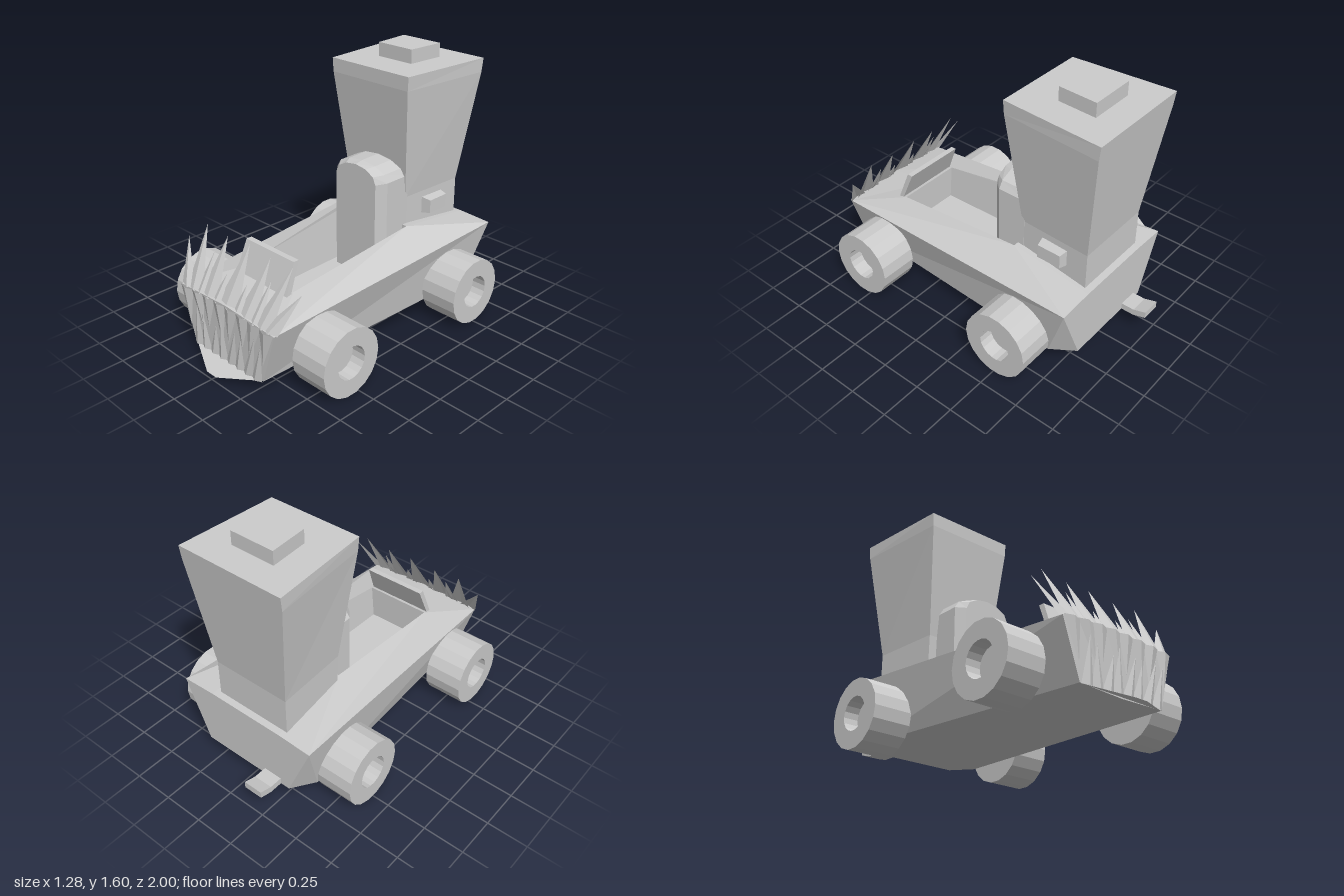
import * as THREE from 'three';

const solid = new THREE.MeshStandardMaterial({ color: 0xcccccc, flatShading: true });
const thin = new THREE.MeshStandardMaterial({ color: 0xcccccc, flatShading: true, side: THREE.DoubleSide });

// Mesh from convex polygons, each fanned into triangles
function polyMesh(name, polys, material = solid) {
  const pos = [];
  for (const p of polys)
    for (let i = 1; i < p.length - 1; i++) pos.push(...p[0], ...p[i], ...p[i + 1]);
  const g = new THREE.BufferGeometry();
  g.setAttribute('position', new THREE.Float32BufferAttribute(pos, 3));
  g.computeVertexNormals();
  const m = new THREE.Mesh(g, material);
  m.name = name;
  return m;
}

const mirror = (poly) => poly.map(([x, y, z]) => [-x, y, z]).reverse();

// Closed skin through rings of points, capped at both ends
function loft(name, rings) {
  const polys = [[...rings[0]].reverse(), rings[rings.length - 1]];
  for (let i = 0; i < rings.length - 1; i++) {
    const a = rings[i], b = rings[i + 1];
    a.forEach((_, j) => {
      const k = (j + 1) % a.length;
      polys.push([a[j], a[k], b[k], b[j]]);
    });
  }
  return polyMesh(name, polys);
}

// Horizontal ring: front edge (half width wf at zf), back edge (wb at zb), about x = cx
const level = (y, cx, wf, zf, wb, zb) =>
  [[cx - wf, y, zf], [cx + wf, y, zf], [cx + wb, y, zb], [cx - wb, y, zb]];

function makeBody() {
  // Left half: outer rim, bottom edge, inner rim, centre line, cockpit floor
  const o0 = [0.4, 0.4, 0.88], o1 = [0.47, 0.5, -0.84];
  const b0 = [0.3, 0.08, 0.88], b1 = [0.4, 0.12, -0.7], b2 = [0.31, 0.125, -0.84];
  const i1 = [0.21, 0.465, 0.57], i2 = [0.24, 0.57, -0.32], i3 = [0.25, 0.51, -0.84];
  const c0 = [0, 0.42, 0.88], c1 = [0, 0.465, 0.57], c2 = [0, 0.57, -0.32], c3 = [0, 0.51, -0.84];
  const cb0 = [0, 0.07, 0.88], cb2 = [0, 0.125, -0.84];
  const f1 = [0.19, 0.25, 0.57], f2 = [0.21, 0.25, -0.32], g1 = [0, 0.25, 0.57], g2 = [0, 0.25, -0.32];
  const half = [
    [b0, b1, o1, o0], [b1, b2, o1],           // side
    [o0, o1, i2, i1], [o1, i3, i2],           // sloping deck
    [o0, i1, c1, c0], [i2, i3, c3, c2],       // nose and rear deck
    [i1, i2, f2, f1], [f1, f2, g2, g1],       // cockpit wall and floor
    [i1, f1, g1, c1], [i2, c2, g2, f2],       // cockpit ends
    [o0, c0, cb0, b0], [o1, b2, cb2, c3, i3], // front and rear
    [b0, cb0, cb2, b2, b1],                   // underside
  ];
  return polyMesh('body', [...half, ...half.map(mirror)]);
}

// Arched outline of the seat at depth z
function arch(w, shoulder, top, z) {
  const ring = [[-w, 0.25, z], [w, 0.25, z]];
  for (let i = 0; i <= 6; i++) {
    const a = (i / 6) * Math.PI;
    ring.push([w * Math.cos(a), shoulder + (top - shoulder) * Math.sin(a), z]);
  }
  return ring;
}

function makeWheel() {
  const profile = [[0, -0.12], [0.205, -0.12], [0.205, 0.12], [0.1, 0.12], [0.1, 0.03], [0, 0.03]]
    .map(([r, y]) => new THREE.Vector2(r, y));
  const g = new THREE.LatheGeometry(profile, 18);
  g.rotateZ(-Math.PI / 2); // open hub faces +x
  return new THREE.Mesh(g, solid);
}

export function createModel() {
  const root = new THREE.Group();
  root.name = 'car';
  root.add(makeBody());

  // Tower behind the seat, slightly off centre, with its cap
  root.add(loft('tower', [
    level(0.45, -0.028, 0.23, -0.355, 0.25, -0.8),
    level(0.74, -0.028, 0.23, -0.345, 0.25, -0.8),
    level(1.43, -0.028, 0.295, -0.262, 0.34, -0.88),
    level(1.515, -0.028, 0.3, -0.26, 0.342, -0.89),
  ]));
  root.add(loft('towerCap', [
    level(1.5, -0.028, 0.128, -0.48, 0.142, -0.72),
    level(1.6, -0.028, 0.128, -0.48, 0.142, -0.72),
  ]));

  // Small box on the left side of the tower
  const sideBox = [[0.19, 0.055, 0.09], [0.268, 0.042, 0.075]].map(([x, h, w]) =>
    [[x, 0.647 - h, -0.58 + w], [x, 0.647 - h, -0.58 - w], [x, 0.647 + h, -0.58 - w], [x, 0.647 + h, -0.58 + w]]);
  root.add(loft('sideBox', sideBox));

  // Seat back with a bevelled front
  root.add(loft('seat', [
    arch(0.205, 0.88, 0.975, -0.36),
    arch(0.205, 0.88, 0.97, -0.18),
    arch(0.16, 0.87, 0.96, -0.125),
  ]));

  root.add(loft('windshield', [
    level(0.44, 0, 0.215, 0.63, 0.215, 0.6),
    level(0.64, 0, 0.2, 0.555, 0.2, 0.52),
  ]));

  // Exhaust pipe, bent upward at its end
  root.add(loft('exhaust', [[-0.8, 0.125, 0.165], [-0.92, 0.125, 0.165], [-1, 0.148, 0.19]].map(([z, lo, hi]) =>
    [[-0.13, lo, z], [-0.25, lo, z], [-0.25, hi, z], [-0.13, hi, z]])));

  // Wheels
  for (const [end, z] of [['front', 0.555], ['rear', -0.505]])
    for (const s of [1, -1]) {
      const w = makeWheel();
      w.name = end + (s > 0 ? 'LeftWheel' : 'RightWheel');
      w.position.set(s * 0.52, 0.205, z);
      if (s < 0) w.rotation.y = Math.PI;
      root.add(w);
    }

  // Interlocking teeth across the front, each a slightly folded triangle
  const teeth = [];
  const n = 8;
  for (let i = 0; i < n; i++) {
    const u = -1 + (2 * i + 1) / n, d = 1 / n + 0.02;
    const lean = i % 2 ? 0.02 : -0.015;
    const yTop = 0.42 - 0.02 * u * u, yLow = 0.075;
    const fold = 0.905, tipUp = [u * 0.34 + lean, 0.17 + (i % 3) * 0.025, 0.892];
    const tipDown = [u * 0.33 - lean + 0.04, 0.34 - (i % 3) * 0.03, 0.9];
    teeth.push([[(u - d) * 0.39, yTop, 0.885], tipUp, [u * 0.39, yTop, fold]]);
    teeth.push([[u * 0.39, yTop, fold], tipUp, [(u + d) * 0.39, yTop, 0.885]]);
    teeth.push([[(u - d) * 0.29, yLow, 0.885], [u * 0.29, yLow, fold], tipDown]);
    teeth.push([[u * 0.29, yLow, fold], [(u + d) * 0.29, yLow, 0.885], tipDown]);
  }
  root.add(polyMesh('teeth', teeth, thin));

  // Spikes leaning back along the nose: base centre, base half width, tip x, tip y, tip z
  const spikes = [
    [0, 0.09, 0, 0.73, 0.69], [0.16, 0.08, 0.18, 0.715, 0.7], [0.09, 0.05, 0.085, 0.55, 0.79],
    [0.23, 0.05, 0.24, 0.62, 0.75], [0.29, 0.07, 0.36, 0.73, 0.7], [0.35, 0.06, 0.48, 0.63, 0.75],
  ];
  const blades = [];
  for (const [x, w, tx, ty, tz] of spikes) {
    const left = [x - w, 0.4, 0.865], mid = [x, 0.4, 0.885], right = [x + w, 0.4, 0.865], tip = [tx, ty, tz];
    const pair = [[left, mid, tip], [mid, right, tip]];
    blades.push(...pair);
    if (x > 0) blades.push(...pair.map(mirror));
  }
  root.add(polyMesh('spikes', blades, thin));

  // Flat pointed lip under the teeth
  root.add(polyMesh('chin', [
    [[-0.3, 0.08, 0.875], [-0.04, 0.035, 1], [0.04, 0.035, 1], [0.3, 0.08, 0.875]],
  ], thin));

  return root;
}
